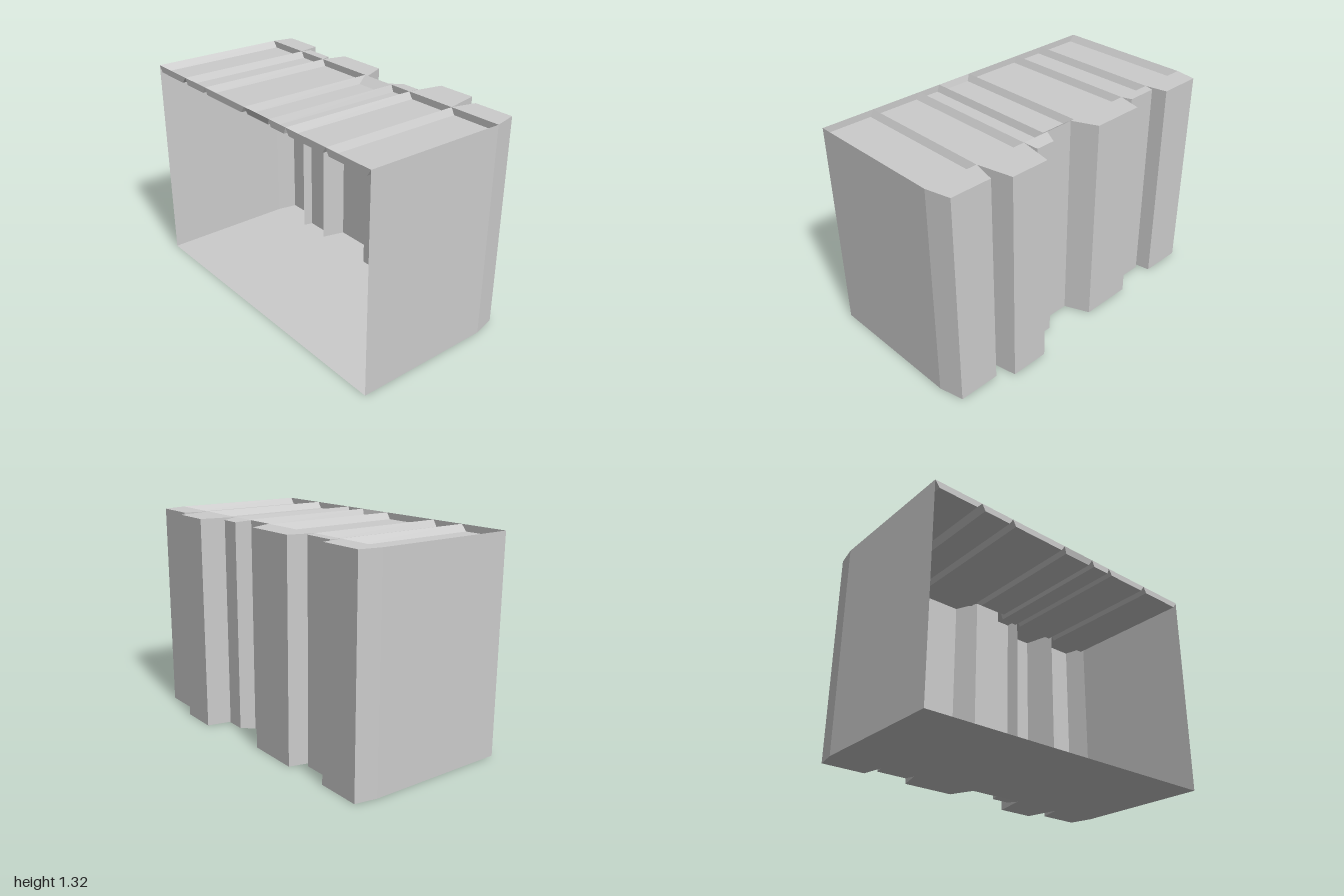
import * as THREE from 'three';

const H = 1.315, DEPTH = 0.04;     // book height, page recess depth
const BACK = -0.55, ROOT = 0.33;   // open rear edge, hinge line of the spines

// Per book: page z range (a, b), spine root z range (r0, r1),
// flat spine face z range (f0, f1) at x, slope widths (s0, s1) of the page recess
const BOOKS = [
  { a: -1, b: -0.68, r0: -1, r1: -0.68, f0: -0.975, f1: -0.705, x: 0.465, s0: 0.03, s1: 0.035 },
  { a: -0.68, b: -0.455, r0: -0.68, r1: -0.455, f0: -0.665, f1: -0.475, x: 0.39, s0: 0.022, s1: 0.025 },
  { a: -0.455, b: -0.045, r0: -0.455, r1: -0.02, f0: -0.415, f1: -0.085, x: 0.48, s0: 0.022, s1: 0.027 },
  { a: -0.045, b: 0.19, r0: -0.02, r1: 0.165, f0: -0.02, f1: 0.165, x: ROOT, s0: 0.02, s1: 0.022, front: 0.06, back: 0.01 },
  { a: 0.19, b: 0.34, r0: 0.165, r1: 0.34, f0: 0.205, f1: 0.325, x: 0.415, s0: 0.017, s1: 0.015, inset: 0.01 },
  { a: 0.34, b: 0.67, r0: 0.34, r1: 0.67, f0: 0.385, f1: 0.625, x: 0.545, s0: 0.025, s1: 0.027 },
  { a: 0.67, b: 1, r0: 0.67, r1: 1, f0: 0.71, f1: 0.965, x: 0.48, s0: 0.022, s1: 0.027 },
];

const material = new THREE.MeshStandardMaterial({ color: 0xcccccc, flatShading: true, side: THREE.DoubleSide });

// Flat-shaded mesh from quads, each a list of four corners
function quadMesh(name, quads) {
  const points = quads.flatMap(([p, q, r, s]) => [p, q, r, p, r, s]);
  const geometry = new THREE.BufferGeometry();
  geometry.setAttribute('position', new THREE.Float32BufferAttribute(points.flat(), 3));
  geometry.computeVertexNormals();
  const mesh = new THREE.Mesh(geometry, material);
  mesh.name = name;
  return mesh;
}

// Spine: hinge slope, flat face, hinge slope, plus top and bottom caps
function makeSpine({ r0, r1, f0, f1, x, inset = 0 }) {
  if (x === ROOT) {
    return quadMesh('spine', [[[x, 0, r1], [x, 0, r0], [x, H, r0], [x, H, r1]]]);
  }
  const path = [[ROOT, r1, 0], [x, f1, inset], [x, f0, inset], [ROOT, r0, 0]];
  const low = path.map(([px, z, i]) => [px, i, z]);
  const high = path.map(([px, z, i]) => [px, H - i, z]);
  const quads = [high, [...low].reverse()];
  for (let i = 0; i < 3; i++) quads.push([low[i], low[i + 1], high[i + 1], high[i]]);
  return quadMesh('spine', quads);
}

// Page top: a shallow tray sunk between the covers
function makePages({ a, b, s0, s1, front = 0, back = 0 }) {
  const rim = [[BACK, H, b], [ROOT, H, b], [ROOT, H, a], [BACK, H, a]];
  const y = H - DEPTH, xb = BACK + back, xf = ROOT - front;
  const tray = [[xb, y, b - s1], [xf, y, b - s1], [xf, y, a + s0], [xb, y, a + s0]];
  const quads = [tray];
  for (let i = 0; i < 4; i++) {
    const j = (i + 1) % 4;
    quads.push([rim[i], rim[j], tray[j], tray[i]]);
  }
  return quadMesh('pageTop', quads);
}

export function createModel() {
  const model = new THREE.Group();
  model.name = 'bookRow';

  BOOKS.forEach((book, i) => {
    const group = new THREE.Group();
    group.name = `book${i + 1}`;
    group.add(makeSpine(book), makePages(book));
    model.add(group);
  });

  // Base and the two outer covers; the rear stays open
  model.add(
    quadMesh('base', [[[BACK, 0, -1], [ROOT, 0, -1], [ROOT, 0, 1], [BACK, 0, 1]]]),
    quadMesh('frontCover', [[[BACK, 0, 1], [ROOT, 0, 1], [ROOT, H, 1], [BACK, H, 1]]]),
    quadMesh('backCover', [[[ROOT, 0, -1], [BACK, 0, -1], [BACK, H, -1], [ROOT, H, -1]]]),
  );
  return model;
}
